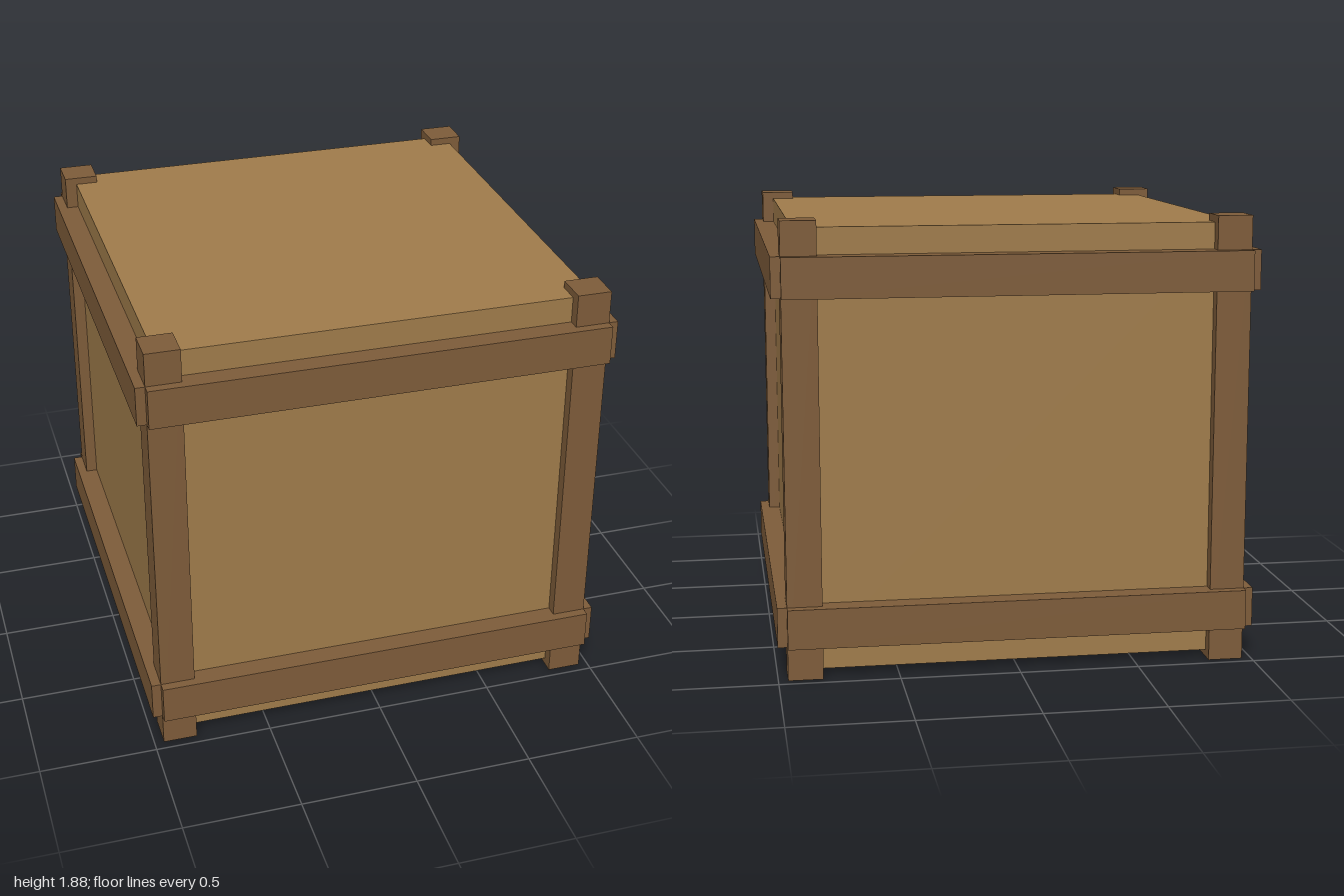
import * as THREE from 'three';

export function createModel() {
  const crate = new THREE.Group();
  crate.name = 'crate';
  const panelWood = new THREE.MeshStandardMaterial({ color: 0xa07c4b });
  const frameWood = new THREE.MeshStandardMaterial({ color: 0x7e5c3a });

  const addBox = (name, material, size, position, parent = crate) => {
    const mesh = new THREE.Mesh(new THREE.BoxGeometry(...size), material);
    mesh.name = name;
    mesh.position.set(...position);
    parent.add(mesh);
  };

  // Plain wooden body, slightly shorter than the posts
  addBox('body', panelWood, [1.82, 1.82, 1.82], [0, 0.94, 0]);

  // Four corner posts
  for (const [x, xName] of [[1, 'Left'], [-1, 'Right']])
    for (const [z, zName] of [[1, 'front'], [-1, 'back']])
      addBox(`${zName}${xName}Post`, frameWood, [0.145, 1.88, 0.145], [x * 0.8875, 0.94, z * 0.8875]);

  // A lower and an upper rail on each side
  ['front', 'left', 'back', 'right'].forEach((side, i) => {
    const rails = new THREE.Group();
    rails.name = `${side}Rails`;
    rails.rotation.y = i * Math.PI / 2;
    addBox('lowerRail', frameWood, [1.92, 0.167, 0.145], [0, 0.226, 0.9275], rails);
    addBox('upperRail', frameWood, [1.92, 0.167, 0.145], [0, 1.656, 0.9275], rails);
    crate.add(rails);
  });

  return crate;
}
